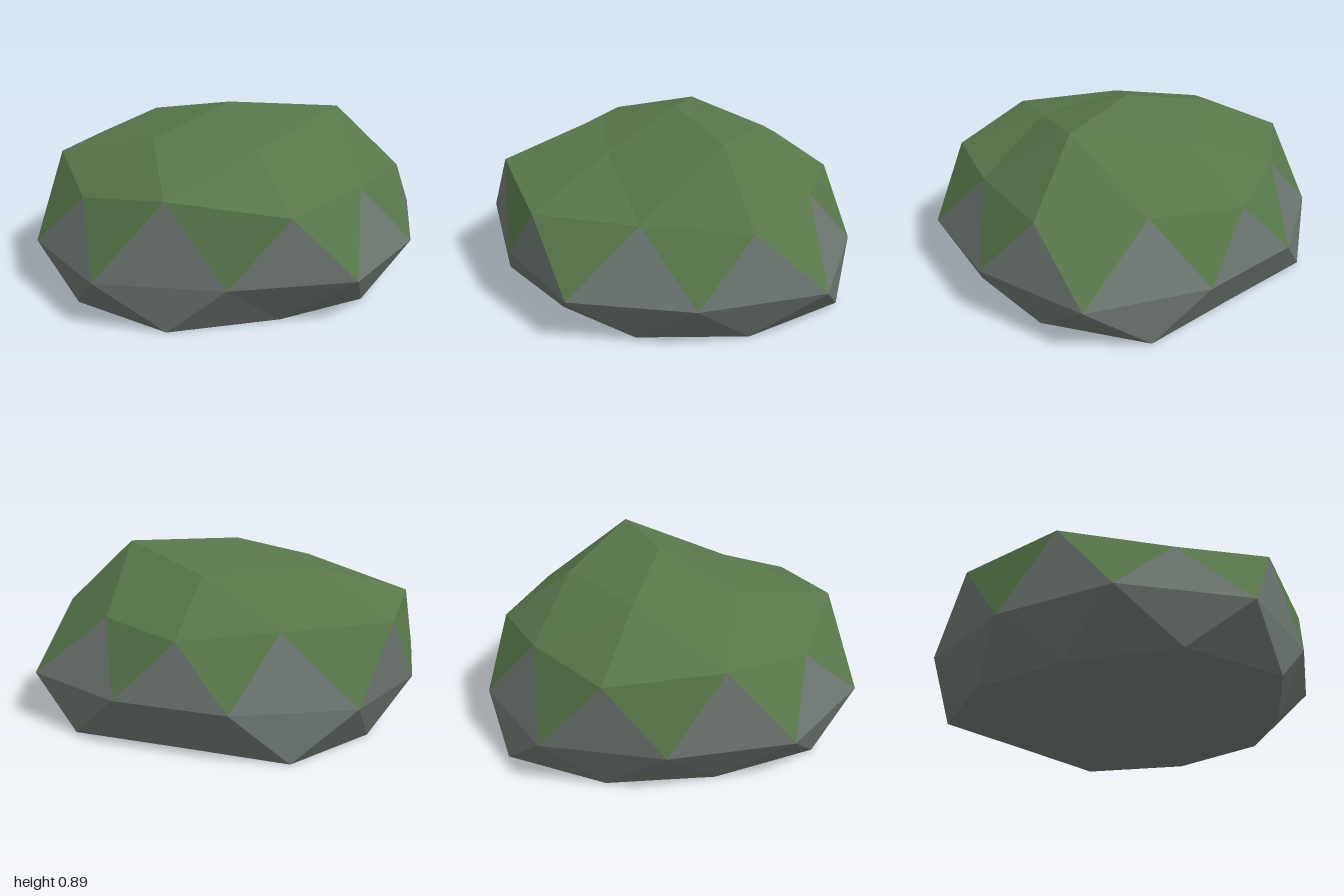
import * as THREE from 'three';

// Rings of [x, y, z], all running round from +x towards +z
const peak = [-0.02, 0.89, 0];
const inner = [ // five points round the peak
  [0.54, 0.87, 0], [0.12, 0.75, 0.43], [-0.4, 0.76, 0.27], [-0.43, 0.79, -0.28], [0.13, 0.77, -0.44],
];
const shoulder = [ // ten points, every 36 degrees
  [0.87, 0.55, 0], [0.62, 0.57, 0.46], [0.27, 0.56, 0.87], [-0.3, 0.63, 0.85], [-0.72, 0.53, 0.5],
  [-0.91, 0.62, 0], [-0.78, 0.58, -0.55], [-0.25, 0.57, -0.73], [0.23, 0.53, -0.77], [0.6, 0.56, -0.45],
];
const waist = [ // ten points, half a step further round
  [0.91, 0.3], [0.58, 0.82], [-0.02, 0.93], [-0.64, 0.85], [-1, 0.32],
  [-0.92, -0.29], [-0.61, -0.81], [-0.02, -0.93], [0.53, -0.75], [1, -0.33],
].map(([x, z]) => [x, 0.235, z]);
const foot = [ // ten points on the ground, below the shoulder
  [0.85, 0], [0.64, 0.5], [0.23, 0.73], [-0.3, 0.87], [-0.76, 0.55],
  [-0.81, 0], [-0.68, -0.51], [-0.3, -0.9], [0.23, -0.72], [0.75, -0.55],
].map(([x, z]) => [x, 0, z]);

// Separate corners per triangle keep every facet flat
function facetMesh(name, triangles, material) {
  const geometry = new THREE.BufferGeometry();
  geometry.setAttribute('position', new THREE.Float32BufferAttribute(triangles.flat(2), 3));
  geometry.computeVertexNormals();
  const mesh = new THREE.Mesh(geometry, material);
  mesh.name = name;
  return mesh;
}

export function createModel() {
  const moss = new THREE.MeshStandardMaterial({ color: 0x58774a, flatShading: true });
  moss.name = 'moss green';
  const stone = new THREE.MeshStandardMaterial({ color: 0x6c756f, flatShading: true });
  stone.name = 'stone grey';

  const mossFaces = [], stoneFaces = [], baseFaces = [];

  // Mossy cap: five sectors of four facets
  for (let i = 0; i < 5; i++) {
    const a = inner[i], b = inner[(i + 1) % 5];
    const s0 = shoulder[2 * i], s1 = shoulder[2 * i + 1], s2 = shoulder[(2 * i + 2) % 10];
    mossFaces.push([peak, b, a], [a, b, s1], [a, s1, s0], [b, s2, s1]);
  }

  // Sides: moss points hang down between the stone points, bare stone below
  for (let j = 0; j < 10; j++) {
    const n = (j + 1) % 10, p = (j + 9) % 10;
    mossFaces.push([shoulder[j], shoulder[n], waist[j]]);
    stoneFaces.push([shoulder[j], waist[j], waist[p]]);
    stoneFaces.push([waist[p], waist[j], foot[j]], [waist[j], foot[n], foot[j]]);
    baseFaces.push([[0, 0, 0], foot[j], foot[n]]);
  }

  const group = new THREE.Group();
  group.name = 'mossyRock';
  group.add(
    facetMesh('mossCap', mossFaces, moss),
    facetMesh('stoneSides', stoneFaces, stone),
    facetMesh('stoneBase', baseFaces, stone),
  );
  return group;
}
